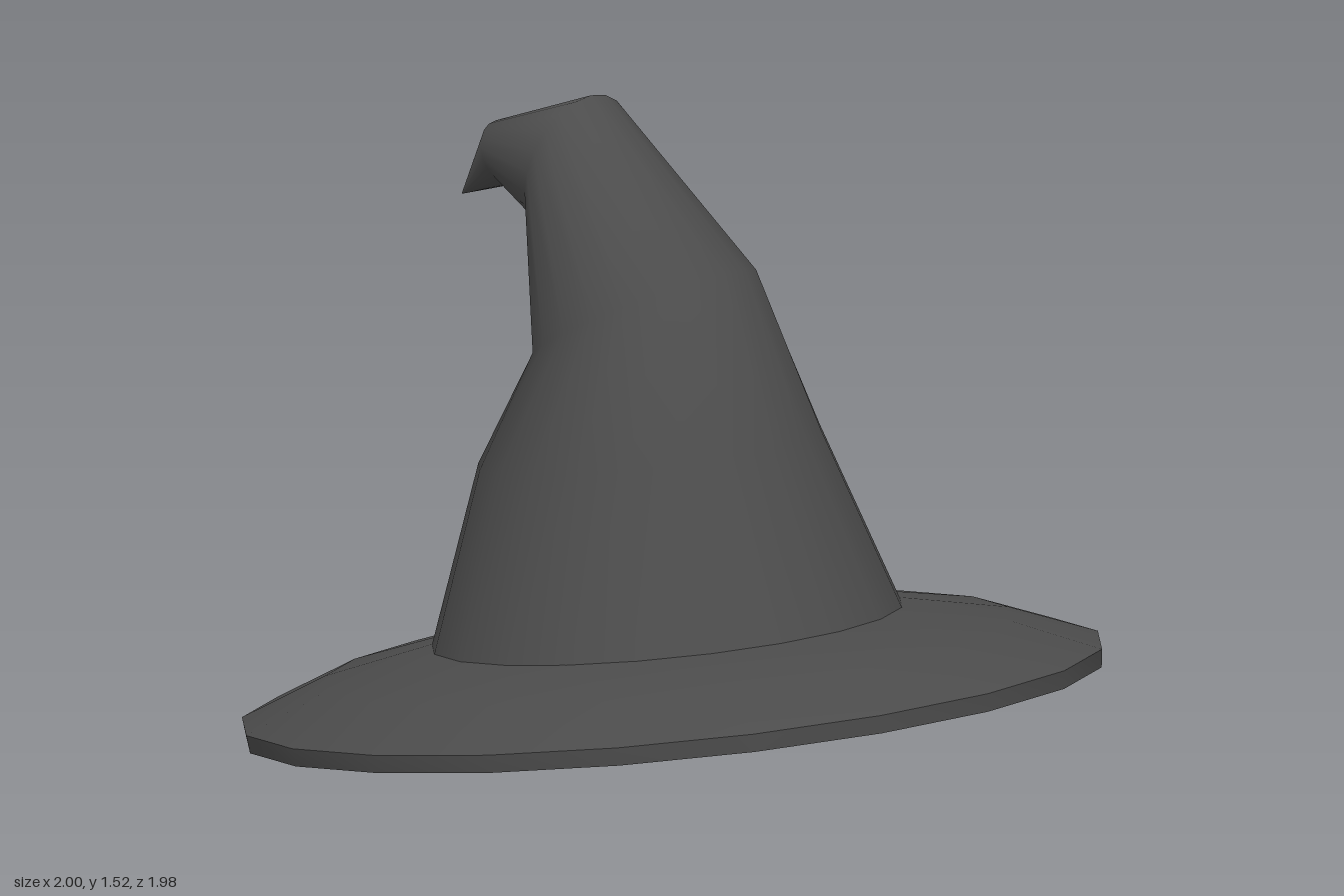
import * as THREE from 'three';
import { toCreasedNormals } from 'three/addons/utils/BufferGeometryUtils.js';

const SIDES = 20;

// Skin of elliptical rings, each given by its front and back points [z, y],
// its half width and its sideways shift.
function loftRings(rings) {
  const positions = [];
  const index = [];
  for (const { front, back, halfWidth, shift = 0 } of rings) {
    const cz = (front[0] + back[0]) / 2, cy = (front[1] + back[1]) / 2;
    const dz = (front[0] - back[0]) / 2, dy = (front[1] - back[1]) / 2;
    for (let i = 0; i < SIDES; i++) {
      const a = (i / SIDES) * Math.PI * 2;
      positions.push(
        shift + halfWidth * Math.sin(a),
        cy + dy * Math.cos(a),
        cz + dz * Math.cos(a)
      );
    }
  }
  for (let j = 0; j < rings.length - 1; j++) {
    for (let i = 0; i < SIDES; i++) {
      const k = (i + 1) % SIDES;
      const a = j * SIDES + i, b = j * SIDES + k;
      const c = a + SIDES, d = b + SIDES;
      index.push(a, b, d, a, d, c);
    }
  }
  const geometry = new THREE.BufferGeometry();
  geometry.setAttribute('position', new THREE.Float32BufferAttribute(positions, 3));
  geometry.setIndex(index);
  geometry.computeVertexNormals();
  return geometry;
}

export function createModel() {
  const model = new THREE.Group();
  model.name = 'pointedHat';

  const felt = new THREE.MeshStandardMaterial({ color: 0x4c4c4c });
  felt.name = 'charcoal felt';

  // Brim: shallow dished disc, hollow underneath, tipped down at the back
  const profile = [
    [0, 0.135], [0.54, 0.135], [0.8, 0.08], [0.995, 0],
    [1, 0.042], [0.8, 0.122], [0.545, 0.176], [0, 0.176]
  ].map(([r, y]) => new THREE.Vector2(r, y));
  const brimGeometry = toCreasedNormals(new THREE.LatheGeometry(profile, SIDES), 0.6);
  const brim = new THREE.Mesh(brimGeometry, felt);
  brim.name = 'brim';
  brim.rotation.x = -0.133;
  brim.position.set(0, 0.133, 0);
  model.add(brim);

  // Crown: tapering cone that leans back and hooks over at the tip
  const crown = new THREE.Mesh(loftRings([
    { front: [0.52, 0.378], back: [-0.562, 0.236], halfWidth: 0.547 },
    { front: [0.32, 0.78], back: [-0.47, 0.66], halfWidth: 0.4 },
    { front: [0.155, 1.165], back: [-0.337, 0.9], halfWidth: 0.275 },
    { front: [-0.26, 1.52], back: [-0.355, 1.2], halfWidth: 0.165 },
    { front: [-0.54, 1.42], back: [-0.478, 1.28], halfWidth: 0.077, shift: -0.02 },
    { front: [-0.636, 1.236], back: [-0.634, 1.234], halfWidth: 0.001, shift: -0.03 }
  ]), felt);
  crown.name = 'crown';
  model.add(crown);

  return model;
}
